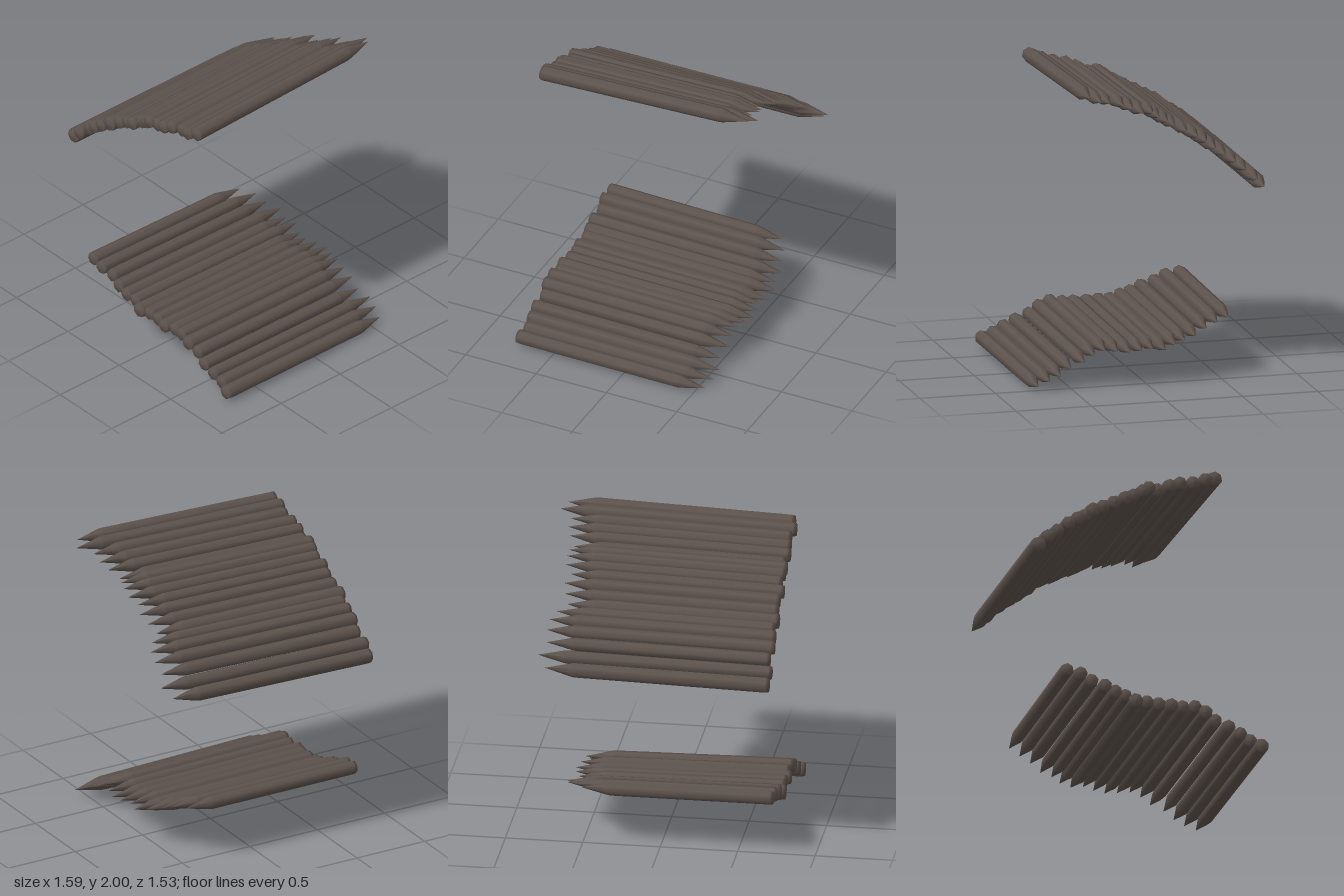
import * as THREE from 'three';

const wood = new THREE.MeshStandardMaterial({ color: 0x5e534d });
wood.name = 'darkWood';

// Each log: [x, y, tip z, radius] at its blunt front end
const upperPanels = [
  [[-0.75, 1.275, -0.71, 0.05], [-0.69, 1.335, -0.765], [-0.62, 1.395, -0.72], [-0.55, 1.45, -0.73], [-0.485, 1.495, -0.72], [-0.43, 1.53, -0.68]],
  [[-0.385, 1.565, -0.62, 0.05], [-0.315, 1.605, -0.645], [-0.24, 1.645, -0.66], [-0.17, 1.68, -0.63], [-0.11, 1.715, -0.67], [-0.05, 1.75, -0.67], [-0.01, 1.775, -0.66]],
  [[0.05, 1.775, -0.64, 0.048], [0.13, 1.81, -0.68], [0.2, 1.84, -0.7], [0.29, 1.86, -0.695], [0.37, 1.885, -0.775], [0.435, 1.908, -0.73, 0.05]],
];
const lowerPanels = [
  [[-0.56, 0.415, -0.5, 0.045], [-0.47, 0.4, -0.56], [-0.39, 0.37, -0.58], [-0.305, 0.34, -0.63], [-0.235, 0.31, -0.61], [-0.165, 0.295, -0.65]],
  [[-0.1, 0.262, -0.62, 0.05], [-0.02, 0.27, -0.6], [0.06, 0.268, -0.63], [0.14, 0.265, -0.64], [0.22, 0.272, -0.62], [0.3, 0.28, -0.6]],
  [[0.37, 0.25, -0.59, 0.048], [0.44, 0.21, -0.6], [0.525, 0.17, -0.58], [0.605, 0.135, -0.61], [0.675, 0.1, -0.6], [0.745, 0.066, -0.57, 0.048]],
];

// Pointed log along z, leaning by (dx, dy) towards its tip
function makeLog([x, y, tip, r = 0.046], index, dx, dy) {
  const front = 0.74 + 0.012 * Math.sin(index * 2.3);
  const shoulder = tip + 0.17;
  const profile = [
    [0, -front - 0.006], [r * 0.93, -front], [r, -front + 0.02],
    [r * 0.96, -shoulder - 0.02], [r * 0.9, -shoulder], [0, -tip],
  ].map(([px, py]) => new THREE.Vector2(px, py));
  const geo = new THREE.LatheGeometry(profile, 7, index * 0.7);
  geo.rotateX(-Math.PI / 2);
  const p = geo.attributes.position;
  for (let i = 0; i < p.count; i++) {
    const t = (0.75 - p.getZ(i)) / 1.3;
    p.setXY(i, p.getX(i) + x + dx * t, p.getY(i) + y + dy * t);
  }
  const log = new THREE.Mesh(geo, wood);
  log.name = 'pointedLog';
  return log;
}

// A sheet of three panels; the lean is blended between its two ends
function makeWall(name, panels, leanStart, leanEnd) {
  const wall = new THREE.Group();
  wall.name = name;
  const total = panels.flat().length - 1;
  let n = 0;
  panels.forEach((logs, i) => {
    const panel = new THREE.Group();
    panel.name = name + 'Panel' + (i + 1);
    for (const log of logs) {
      const t = n / total;
      panel.add(makeLog(log, n++,
        THREE.MathUtils.lerp(leanStart[0], leanEnd[0], t),
        THREE.MathUtils.lerp(leanStart[1], leanEnd[1], t)));
    }
    wall.add(panel);
  });
  return wall;
}

export function createModel() {
  const model = new THREE.Group();
  model.name = 'logPalisades';
  model.add(makeWall('upperWall', upperPanels, [0.02, 0.02], [0, 0.046]));
  model.add(makeWall('lowerWall', lowerPanels, [0.015, -0.01], [-0.012, -0.02]));
  return model;
}
